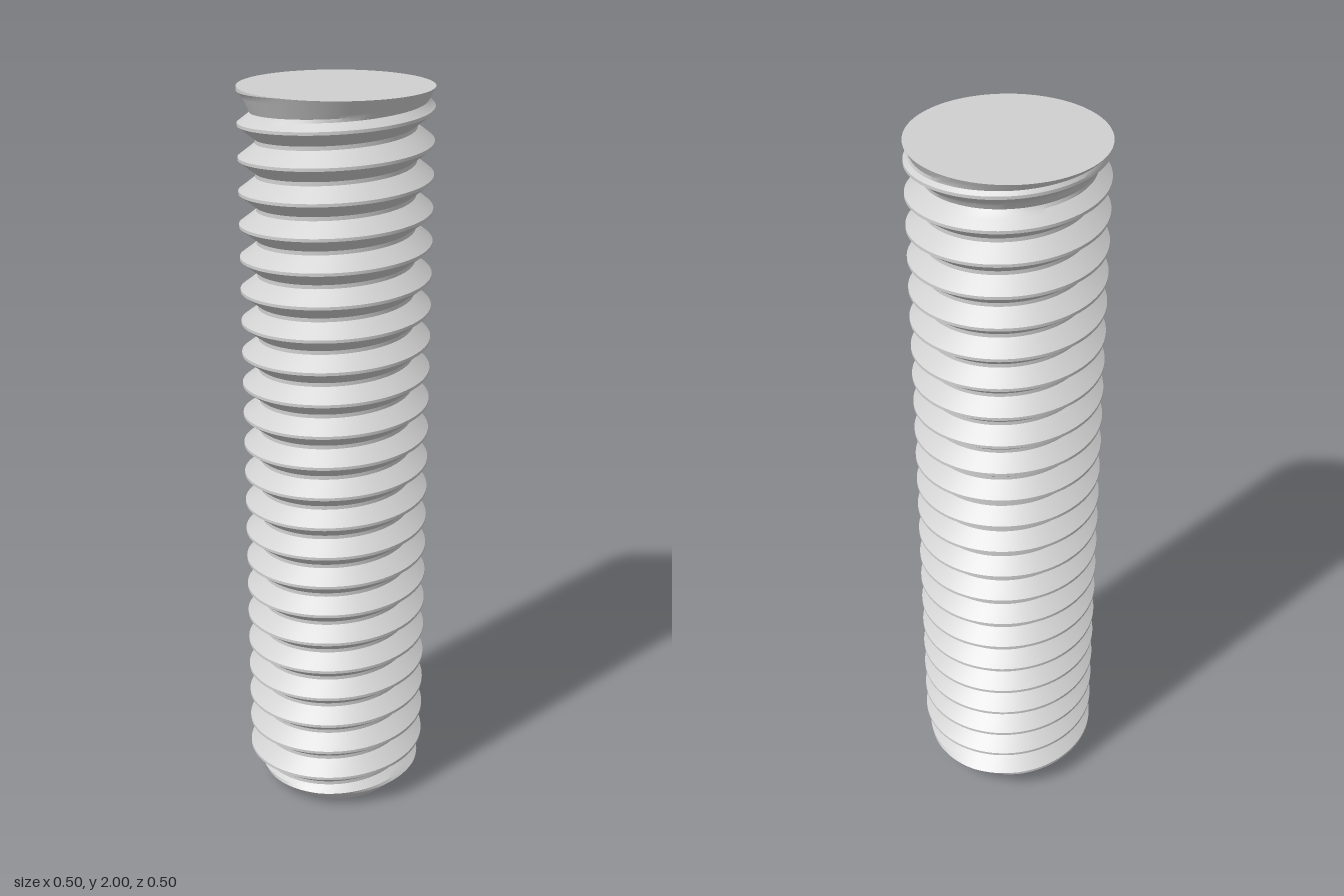
import * as THREE from 'three';
import { toCreasedNormals } from 'three/addons/utils/BufferGeometryUtils.js';

const LENGTH = 2, CREST = 0.25, ROOT = 0.206, PITCH = 0.0862;
const CREST_HALF = 0.004, FLANK_END = 0.038, START = 0.06;
const SEGMENTS = 96, FLANK_STEPS = 4, END_RADIUS = 0.18;

// Radius of the thread at a signed distance from the nearest crest
function threadRadius(d) {
  const k = THREE.MathUtils.clamp((Math.abs(d) - CREST_HALF) / (FLANK_END - CREST_HALF), 0, 1);
  return THREE.MathUtils.lerp(CREST, ROOT, k);
}

// Heights of the profile points within one pitch, measured from the crest
function pitchOffsets() {
  const out = [];
  for (let i = 0; i <= FLANK_STEPS; i++) {
    out.push(THREE.MathUtils.lerp(CREST_HALF, FLANK_END, i / FLANK_STEPS));
  }
  return [...out, ...out.map((d) => PITCH - d).reverse()];
}

// Right-handed helical surface, cut off flat at both ends
function threadGeometry() {
  const offsets = pitchOffsets();
  const turns = Math.ceil(LENGTH / PITCH) + 3;
  const rows = turns * offsets.length;
  const points = [];
  for (let s = 0; s <= SEGMENTS; s++) {
    const angle = (s / SEGMENTS) * Math.PI * 2;
    const crestY = START + (PITCH * s) / SEGMENTS;
    for (let t = 0; t < turns; t++) {
      for (const offset of offsets) {
        const y = THREE.MathUtils.clamp(crestY + (t - 2) * PITCH + offset, 0, LENGTH);
        const fromCrest = y - crestY - Math.round((y - crestY) / PITCH) * PITCH;
        let r = threadRadius(fromCrest);
        r = Math.max(r, CREST - (LENGTH - y) * 0.5); // flare under the top face
        r = Math.min(r, END_RADIUS + y);             // chamfer at the foot
        points.push(new THREE.Vector3(Math.cos(angle) * r, y, -Math.sin(angle) * r));
      }
    }
  }
  const positions = [];
  const triangle = (a, b, c) => {
    const [p, q, r] = [points[a], points[b], points[c]];
    if (p.distanceTo(q) < 1e-6 || q.distanceTo(r) < 1e-6 || r.distanceTo(p) < 1e-6) return;
    for (const v of [p, q, r]) positions.push(v.x, v.y, v.z);
  };
  for (let s = 0; s < SEGMENTS; s++) {
    for (let i = 0; i < rows - 1; i++) {
      const a = s * rows + i, b = a + rows;
      triangle(a, b, b + 1);
      triangle(a, b + 1, a + 1);
    }
  }
  const geometry = new THREE.BufferGeometry();
  geometry.setAttribute('position', new THREE.Float32BufferAttribute(positions, 3));
  return toCreasedNormals(geometry, 0.45);
}

export function createModel() {
  const group = new THREE.Group();
  group.name = 'threadedRod';
  const steel = new THREE.MeshStandardMaterial({ color: 0xd0d0d0 });
  steel.name = 'steel grey';

  const add = (name, geometry) => {
    const mesh = new THREE.Mesh(geometry, steel);
    mesh.name = name;
    group.add(mesh);
    return mesh;
  };

  add('thread', threadGeometry());

  // Flat end faces
  const top = add('topFace', new THREE.CircleGeometry(CREST, SEGMENTS));
  top.rotation.x = -Math.PI / 2;
  top.position.y = LENGTH;
  const bottom = add('bottomFace', new THREE.CircleGeometry(END_RADIUS, SEGMENTS));
  bottom.rotation.x = Math.PI / 2;

  return group;
}
